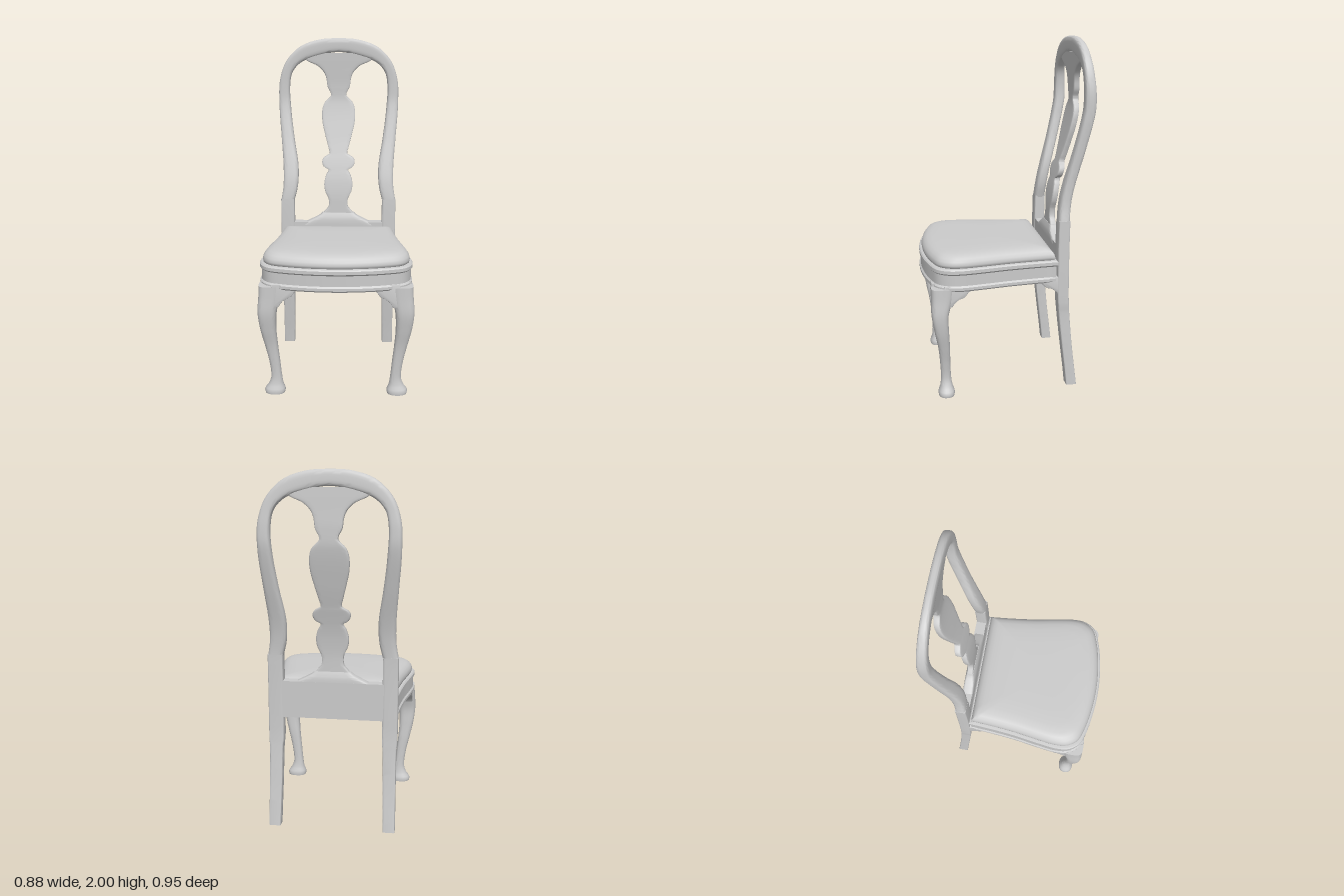
import * as THREE from 'three';
import { toCreasedNormals } from 'three/addons/utils/BufferGeometryUtils.js';

const material = new THREE.MeshStandardMaterial({ color: 0xcccccc });

// Smooth interpolation through rows [key, a, b, ...]; returns [a, b, ...]
function table(rows) {
  const slope = (i, k) => {
    const a = rows[Math.max(i - 1, 0)], b = rows[Math.min(i + 1, rows.length - 1)];
    return (b[k] - a[k]) / (b[0] - a[0]);
  };
  return (y) => {
    let i = 0;
    while (i < rows.length - 2 && y > rows[i + 1][0]) i++;
    const p = rows[i], q = rows[i + 1], h = q[0] - p[0];
    const t = THREE.MathUtils.clamp((y - p[0]) / h, 0, 1), t2 = t * t, t3 = t2 * t;
    return p.slice(1).map((_, n) => {
      const k = n + 1;
      return p[k] * (2 * t3 - 3 * t2 + 1) + q[k] * (3 * t2 - 2 * t3)
        + h * (slope(i, k) * (t3 - 2 * t2 + t) + slope(i + 1, k) * (t3 - t2));
    });
  };
}

// Skin over closed rings of points with capped ends; faces are turned outward
function loft(rings, crease = 0.7) {
  const n = rings[0].length, pts = rings.flat(), idx = [];
  for (let i = 0; i < rings.length - 1; i++) {
    for (let j = 0; j < n; j++) {
      const a = i * n + j, b = i * n + (j + 1) % n;
      idx.push(a, b, b + n, a, b + n, a + n);
    }
  }
  [0, rings.length - 1].forEach((r) => {
    const c = new THREE.Vector3();
    rings[r].forEach((p) => c.addScaledVector(p, 1 / n));
    const m = pts.push(c) - 1;
    for (let j = 0; j < n; j++) {
      const a = r * n + j, b = r * n + (j + 1) % n;
      idx.push(...(r ? [a, b, m] : [b, a, m]));
    }
  });
  let volume = 0;
  const cross = new THREE.Vector3();
  for (let i = 0; i < idx.length; i += 3) {
    volume += pts[idx[i]].dot(cross.crossVectors(pts[idx[i + 1]], pts[idx[i + 2]]));
  }
  if (volume < 0) idx.reverse();
  const geo = new THREE.BufferGeometry().setFromPoints(pts);
  geo.setIndex(idx);
  return toCreasedNormals(geo, crease);
}

// Unit rounded-square section; a higher power is squarer
function section(power, n = 24) {
  const f = (v) => Math.sign(v) * Math.abs(v) ** (2 / power);
  return Array.from({ length: n }, (_, i) => {
    const a = ((i + 0.5) / n) * Math.PI * 2;
    return [f(Math.cos(a)), f(Math.sin(a))];
  });
}

const steps = (a, b, n) => Array.from({ length: n + 1 }, (_, i) => a + ((b - a) * i) / n);

// Side curve of the back: centre z and half depth at each height
const back = table([
  [0, -0.379, 0.031], [0.1, -0.367, 0.03], [0.25, -0.348, 0.03], [0.48, -0.324, 0.032],
  [0.6, -0.318, 0.0325], [0.98, -0.318, 0.0325], [1.1, -0.329, 0.032], [1.2, -0.349, 0.031],
  [1.4, -0.4, 0.031], [1.6, -0.442, 0.032], [1.7, -0.445, 0.031], [1.8, -0.44, 0.028], [2, -0.429, 0.023],
]);

// Seat outline seen from above, back right round to back left
const half = [[0.362, -0.285], [0.373, -0.15], [0.39, 0], [0.415, 0.15], [0.43, 0.27],
  [0.422, 0.34], [0.382, 0.4], [0.29, 0.437], [0.15, 0.465]];
const outline = new THREE.CatmullRomCurve3(
  [...half, [0, 0.475], ...half.map(([x, z]) => [-x, z]).reverse()]
    .map(([x, z]) => new THREE.Vector3(x, 0, z))).getPoints(108);
for (let i = 1; i < 12; i++) outline.push(new THREE.Vector3(-0.362 + 0.724 * i / 12, 0, -0.285));

const seatRings = (profile) => profile.map(([inset, y]) => outline.map((p) =>
  new THREE.Vector3(p.x * (1 - inset / 0.42), y, 0.095 + (p.z - 0.095) * (1 - inset / 0.38))));

export function createModel() {
  const chair = new THREE.Group();
  chair.name = 'chair';
  const add = (name, geometry) => {
    const mesh = new THREE.Mesh(geometry, material);
    mesh.name = name;
    chair.add(mesh);
    return mesh;
  };

  // Seat rail with moulded edges and a recessed underside
  add('seatRail', loft(seatRings([[0.3, 0.69], [0.07, 0.69], [0.07, 0.645], [0.006, 0.645], [0, 0.653],
    [0, 0.668], [0.008, 0.677], [0.008, 0.738], [0, 0.747], [0, 0.765], [0.006, 0.772], [0.03, 0.775]]), 0.5));

  // Padded cushion
  add('cushion', loft(seatRings([[0.035, 0.765], [0.018, 0.775], [0.015, 0.79], [0.02, 0.808], [0.032, 0.824],
    [0.05, 0.836], [0.075, 0.843], [0.12, 0.848], [0.2, 0.851], [0.3, 0.852], [0.36, 0.852]]), 1));

  // Rear rail between the back posts
  add('backRail', new THREE.BoxGeometry(0.62, 0.21, 0.061)).position.set(0, 0.745, -0.318);

  // Shoe and shaped splat, following the curve of the back
  const slab = (name, y0, y1, n, size) => add(name, loft(steps(y0, y1, n).map((y) => {
    const [w, d] = size(y), z = back(y)[0];
    return section(9, 20).map(([u, v]) => new THREE.Vector3(u * w, y, z + v * d));
  })));
  slab('splatShoe', 0.83, 0.91, 12, table([[0.83, 0.23, 0.032], [0.85, 0.2, 0.032], [0.875, 0.15, 0.03],
    [0.895, 0.115, 0.025], [0.91, 0.1, 0.02]]));
  slab('splat', 0.89, 1.91, 110, table([
    [0.89, 0.11, 0.018], [0.92, 0.085, 0.018], [0.95, 0.062, 0.018], [1, 0.062, 0.018], [1.05, 0.084, 0.018],
    [1.1, 0.09, 0.018], [1.15, 0.078, 0.018], [1.185, 0.062, 0.018], [1.2, 0.09, 0.018], [1.235, 0.104, 0.018],
    [1.262, 0.09, 0.018], [1.28, 0.058, 0.018], [1.32, 0.064, 0.018], [1.4, 0.085, 0.018], [1.48, 0.103, 0.018],
    [1.55, 0.105, 0.018], [1.6, 0.09, 0.018], [1.64, 0.052, 0.018], [1.66, 0.05, 0.018], [1.7, 0.07, 0.018],
    [1.76, 0.08, 0.018], [1.8, 0.1, 0.018], [1.835, 0.14, 0.018], [1.865, 0.205, 0.018], [1.91, 0.21, 0.018]]));

  // Arched back frame: outer and inner edges of one half, mirrored over the top
  const edge = (pts) => new THREE.CatmullRomCurve3([...pts, ...pts.slice(0, -1).reverse().map(([x, y]) => [-x, y])]
    .map(([x, y]) => new THREE.Vector3(x, y, 0)));
  const outer = edge([[0.365, 0.99], [0.351, 1.08], [0.35, 1.2], [0.365, 1.4], [0.378, 1.58],
    [0.373, 1.74], [0.33, 1.86], [0.24, 1.95], [0.12, 1.992], [0, 2]]);
  const inner = edge([[0.28, 0.99], [0.259, 1.08], [0.255, 1.2], [0.282, 1.38], [0.303, 1.55],
    [0.31, 1.7], [0.293, 1.79], [0.24, 1.85], [0.14, 1.89], [0, 1.915]]);
  add('archFrame', loft(steps(0, 1, 120).map((t) => {
    const o = outer.getPoint(t), i = inner.getPoint(t);
    return section(3.5).map(([u, v]) => {
      const p = i.clone().lerp(o, (u + 1) / 2), [z, d] = back(p.y);
      return p.setZ(z + v * d);
    });
  }), 1));

  // Leg sections: x centre, z centre, half width, half depth
  const frontLeg = table([
    [0, 0.351, 0.357, 0.056, 0.045], [0.02, 0.351, 0.357, 0.06, 0.047], [0.05, 0.346, 0.357, 0.043, 0.036],
    [0.1, 0.342, 0.358, 0.031, 0.029], [0.2, 0.352, 0.362, 0.031, 0.029], [0.3, 0.368, 0.368, 0.037, 0.033],
    [0.4, 0.382, 0.38, 0.045, 0.04], [0.5, 0.385, 0.388, 0.053, 0.047], [0.6, 0.371, 0.375, 0.061, 0.06],
    [0.66, 0.366, 0.371, 0.064, 0.064]]);
  const backPost = table([[0, 0.329, 0.034], [0.25, 0.325, 0.036], [0.47, 0.323, 0.038],
    [0.5, 0.3225, 0.0425], [1, 0.3225, 0.0425]]);

  // Curved bracket filling the corner of a leg and a rail; length runs along local x
  const bracket = (name, x, z, turn, len, h) => {
    const s = new THREE.Shape();
    s.moveTo(-0.03, 0.02).lineTo(len, 0.02).lineTo(len, 0);
    s.bezierCurveTo(len * 0.7, -h * 0.1, len * 0.75, -h * 0.45, len * 0.45, -h * 0.5);
    s.quadraticCurveTo(len * 0.2, -h * 0.6, 0, -h).lineTo(-0.03, -h);
    const geo = new THREE.ExtrudeGeometry(s, { depth: 0.04, bevelSize: 0.006, bevelThickness: 0.006,
      bevelSegments: 2, curveSegments: 10 });
    const mesh = add(name, toCreasedNormals(geo.translate(0, 0, -0.02), 0.7));
    mesh.position.set(x, 0.65, z);
    mesh.rotation.y = turn;
  };

  for (const s of [1, -1]) {
    const side = s > 0 ? 'Left' : 'Right';
    add('frontLeg' + side, loft(steps(0, 0.66, 44).map((y) => {
      const [cx, cz, rx, rz] = frontLeg(y);
      return section(2.3 + 1.2 * y / 0.66).map(([u, v]) => new THREE.Vector3(s * (cx + u * rx), y, cz + v * rz));
    }), 0.9));
    add('backPost' + side, loft(steps(0, 1, 50).map((y) => {
      const [cx, w] = backPost(y), [z, d] = back(y);
      return section(10).map(([u, v]) => new THREE.Vector3(s * (cx + u * w), y, z + v * d));
    })));
    bracket('frontBracket' + side, s * 0.32, 0.405, s > 0 ? Math.PI : 0, 0.11, 0.1);
    bracket('sideBracket' + side, s * 0.395, 0.325, Math.PI / 2, 0.11, 0.09);
    bracket('rearBracket' + side, s * 0.337, -0.29, -Math.PI / 2, 0.11, 0.07);
  }
  return chair;
}
